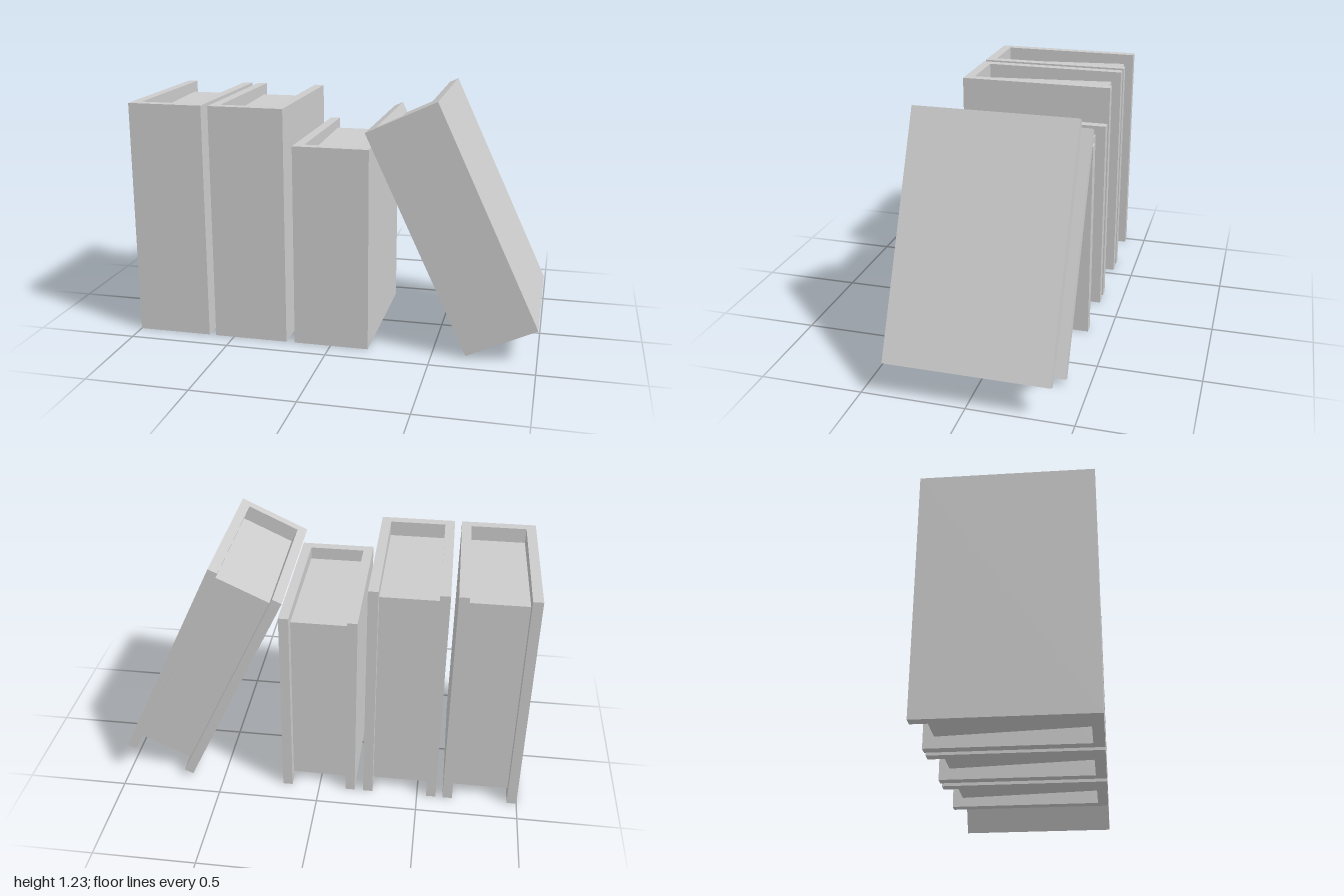
import * as THREE from 'three';

const W = 0.37, D = 0.78, H = 1.17; // book width, depth, height
const T = 0.048;                    // cover thickness

const polygon = (points) => new THREE.Shape(points.map(([x, y]) => new THREE.Vector2(x, y)));

function makeBook(name, height, x, y, tilt = 0) {
  const material = new THREE.MeshStandardMaterial({ color: 0xcccccc, flatShading: true });
  const book = new THREE.Group();
  book.name = name;
  const w = W / 2, d = D / 2, i = w - T, s = d - 0.05;

  // Cover: U-shaped section (spine towards +z), extruded upwards
  const coverGeo = new THREE.ExtrudeGeometry(
    polygon([[-w, -d], [w, -d], [w, d], [i, d], [i, -s], [-i, -s], [-i, d], [-w, d]]),
    { depth: H, bevelEnabled: false });
  coverGeo.translate(0, 0, -H / 2).rotateX(-Math.PI / 2);
  const cover = new THREE.Mesh(coverGeo, material);
  cover.name = 'cover';

  // Pages: block slightly shorter at the spine than at the open edge
  const hs = H / 2 - 0.076, ho = H / 2 - 0.054;
  const pagesGeo = new THREE.ExtrudeGeometry(
    polygon([[-s, -hs], [s, -ho], [s, ho], [-s, hs]]),
    { depth: 2 * i, bevelEnabled: false });
  pagesGeo.translate(0, 0, -i).rotateY(Math.PI / 2);
  const pages = new THREE.Mesh(pagesGeo, material);
  pages.name = 'pages';

  book.add(cover, pages);
  book.scale.y = height / H;
  book.position.set(x, y, 0);
  book.rotation.z = tilt;
  return book;
}

export function createModel() {
  const model = new THREE.Group();
  model.name = 'bookRow';
  model.add(
    makeBook('tallBookOuter', H, -0.815, H / 2),
    makeBook('tallBookInner', H, -0.41, H / 2),
    makeBook('shortBook', 0.995, 0.003, 0.995 / 2),
    makeBook('leaningBook', H, 0.584, 0.622, THREE.MathUtils.degToRad(25.1)),
  );
  return model;
}
